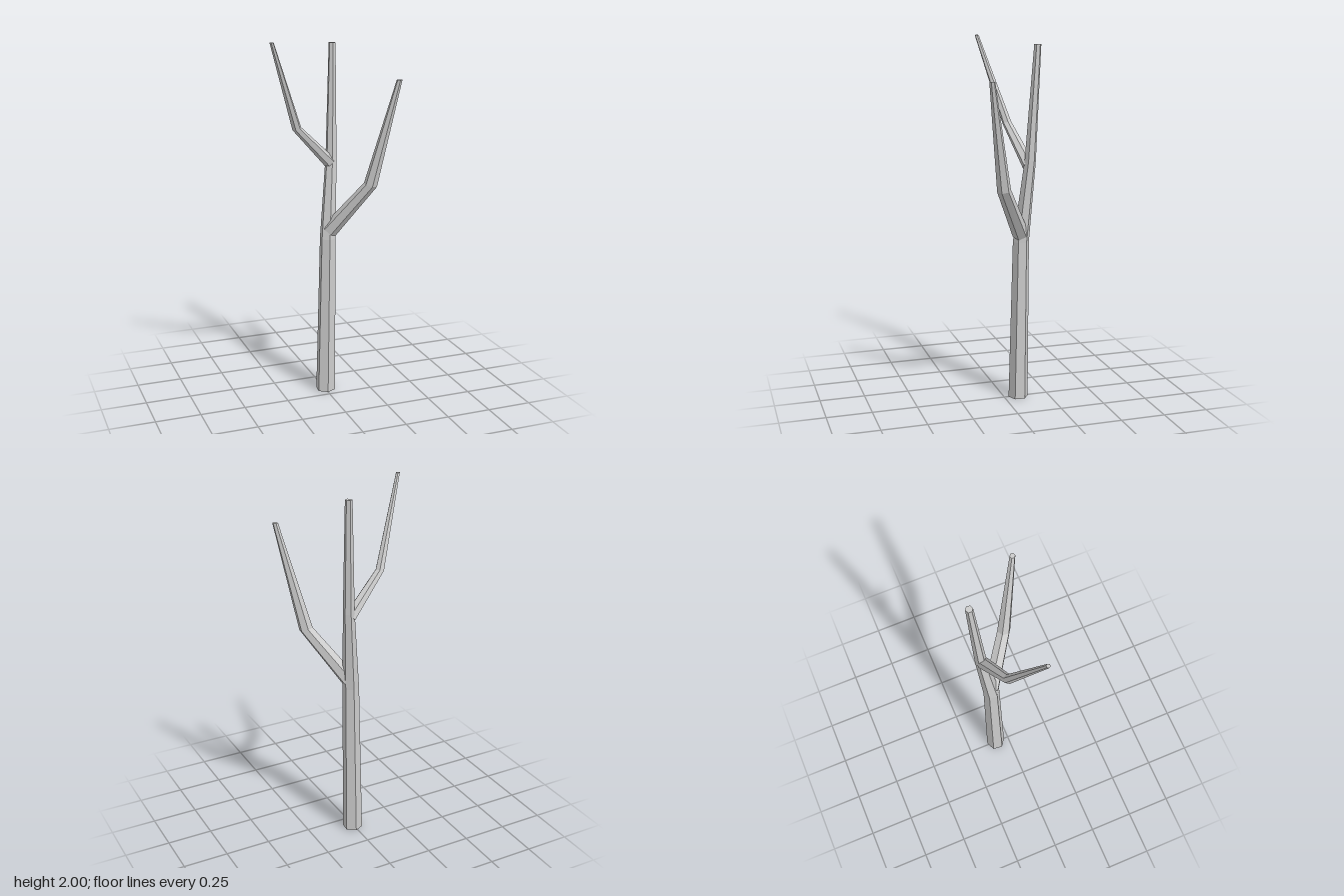
import * as THREE from 'three';

const SIDES = 6;
const UP = new THREE.Vector3(0, 1, 0);

// Tapered six-sided limb through a list of rings: centre, radius, ring normal
function limb(name, phase, rings, material) {
  const loops = rings.map(({ at, r, normal = [0, 1, 0] }) => {
    const turn = new THREE.Quaternion().setFromUnitVectors(UP, new THREE.Vector3(...normal).normalize());
    const centre = new THREE.Vector3(...at);
    return Array.from({ length: SIDES }, (_, i) => {
      const a = phase + (i / SIDES) * Math.PI * 2;
      return new THREE.Vector3(Math.cos(a) * r, 0, Math.sin(a) * r).applyQuaternion(turn).add(centre);
    });
  });
  const points = [];
  const first = loops[0];
  const last = loops[loops.length - 1];
  for (let i = 0; i < SIDES; i++) {
    const j = (i + 1) % SIDES;
    for (let k = 0; k < loops.length - 1; k++) {
      const lo = loops[k], hi = loops[k + 1];
      points.push(lo[i], hi[i], lo[j], lo[j], hi[i], hi[j]);
    }
    // End caps
    points.push(new THREE.Vector3(...rings[0].at), first[i], first[j]);
    points.push(new THREE.Vector3(...rings[rings.length - 1].at), last[j], last[i]);
  }
  const geometry = new THREE.BufferGeometry().setFromPoints(points);
  geometry.computeVertexNormals();
  const mesh = new THREE.Mesh(geometry, material);
  mesh.name = name;
  return mesh;
}

export function createModel() {
  const tree = new THREE.Group();
  tree.name = 'bareTree';
  const bark = new THREE.MeshStandardMaterial({ color: 0xcccccc, flatShading: true });
  const deg = THREE.MathUtils.degToRad;

  // Trunk, bending slightly at each fork
  tree.add(limb('trunk', deg(35), [
    { at: [0.005, 0, -0.08], r: 0.055 },
    { at: [0.022, 0.9, -0.088], r: 0.045 },
    { at: [0.056, 1.35, -0.128], r: 0.031 },
    { at: [0.074, 1.965, -0.16], r: 0.019 },
  ], bark));

  // Lower, thicker branch to the left and forward
  tree.add(limb('leftBranch', deg(35), [
    { at: [0.03, 0.945, -0.083], r: 0.045, normal: [0.18, 0.28, 0.15] },
    { at: [0.21, 1.222, 0.066], r: 0.037, normal: [0.12, 0.6, 0.1] },
    { at: [0.327, 1.795, 0.163], r: 0.015 },
  ], bark));

  // Upper, thinner branch to the right and forward
  tree.add(limb('rightBranch', 0, [
    { at: [0.045, 1.322, -0.122], r: 0.034, normal: [-0.2, 0.22, 0.06] },
    { at: [-0.162, 1.53, -0.065], r: 0.025, normal: [-0.15, 0.55, 0.1] },
    { at: [-0.333, 2, 0.057], r: 0.011 },
  ], bark));

  return tree;
}
